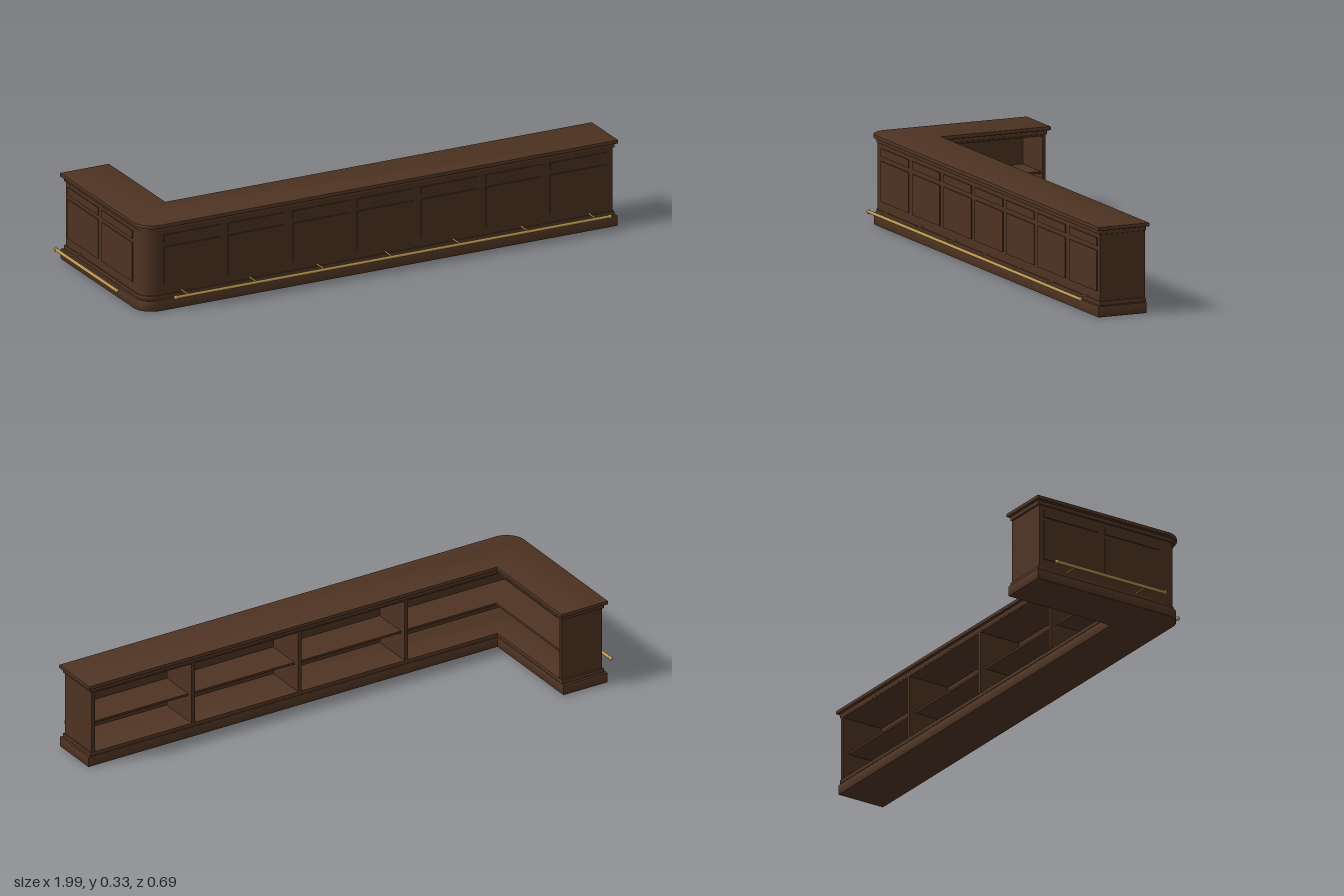
import * as THREE from 'three';
import { toCreasedNormals } from 'three/addons/utils/BufferGeometryUtils.js';

export function createModel() {
  const root = new THREE.Group();
  root.name = 'cornerBarCounter';
  const wood = new THREE.MeshStandardMaterial({ color: 0x4e3322 });
  wood.name = 'dark wood';
  const brass = new THREE.MeshStandardMaterial({ color: 0xb8954f });
  brass.name = 'brass';

  const add = (name, geometry, material, parent = root) => {
    const mesh = new THREE.Mesh(geometry, material);
    mesh.name = name;
    parent.add(mesh);
    return mesh;
  };
  const box = (name, x0, x1, y0, y1, z0, z1, parent = root) => {
    const mesh = add(name, new THREE.BoxGeometry(x1 - x0, y1 - y0, z1 - z0), wood, parent);
    mesh.position.set((x0 + x1) / 2, (y0 + y1) / 2, (z0 + z1) / 2);
    return mesh;
  };

  // Plan shapes use (x, -z) and are extruded upwards
  const slab = (name, shape, y0, y1, bevel) => {
    const geo = new THREE.ExtrudeGeometry(shape, {
      depth: y1 - y0 - 2 * bevel, bevelEnabled: bevel > 0, bevelThickness: bevel,
      bevelSize: bevel, bevelOffset: -bevel, bevelSegments: 2, curveSegments: 14,
    });
    geo.rotateX(-Math.PI / 2);
    geo.translate(0, y0 + bevel, 0);
    return add(name, toCreasedNormals(geo, 0.5), wood);
  };
  // Outer edge: right end, front, rounded corner, wing side
  const outerEdge = (left, right, front, back, innerZ, r) => {
    const s = new THREE.Shape();
    s.moveTo(left, -back);
    s.lineTo(left, -(front - r));
    if (r > 0) s.absarc(left + r, -(front - r), r, Math.PI, Math.PI * 1.5, false);
    s.lineTo(right, -front);
    s.lineTo(right, -innerZ);
    return s;
  };
  const lShape = (left, right, front, back, innerX, innerZ, r) => {
    const s = outerEdge(left, right, front, back, innerZ, r);
    s.lineTo(innerX, -innerZ);
    s.lineTo(innerX, -back);
    s.closePath();
    return s;
  };

  // Plinth, mouldings and counter top
  slab('plinth', lShape(-0.943, 0.993, 0.293, -0.345, -0.755, 0.1, 0.073), 0, 0.04, 0.002);
  slab('baseMoulding', lShape(-0.934, 0.985, 0.284, -0.337, -0.755, 0.1, 0.064), 0.04, 0.056, 0.002);
  slab('cornice', lShape(-0.934, 0.985, 0.284, -0.337, -0.755, 0.1, 0.064), 0.302, 0.318, 0.002);
  slab('counterTop', lShape(-0.945, 0.995, 0.295, -0.347, -0.745, 0.09, 0.075), 0.318, 0.333, 0.003);

  // Cabinet shell with both end panels, open towards the inside of the corner
  const shell = outerEdge(-0.93, 0.98, 0.28, -0.33, 0.1, 0.06);
  shell.lineTo(0.965, -0.1);
  shell.lineTo(0.965, -0.268);
  shell.lineTo(-0.87, -0.268);
  shell.absarc(-0.87, -0.22, 0.048, Math.PI * 1.5, Math.PI, true);
  shell.lineTo(-0.918, 0.318);
  shell.lineTo(-0.755, 0.318);
  shell.lineTo(-0.755, 0.33);
  shell.closePath();
  slab('cabinetWalls', shell, 0.056, 0.302, 0);

  // Inner boards
  slab('cabinetCeiling', lShape(-0.918, 0.965, 0.268, -0.318, -0.755, 0.1, 0.048), 0.297, 0.302, 0);
  slab('middleShelf', lShape(-0.918, 0.965, 0.268, -0.318, -0.765, 0.125, 0.048), 0.157, 0.165, 0);
  for (const x of [0.545, 0.09, -0.365]) {
    box('shelfDivider', x - 0.007, x + 0.007, 0.056, 0.297, 0.1, 0.268);
  }

  // Raised panels: a tall lower row and a narrow upper row
  const rows = [[0.09, 0.24], [0.257, 0.287]];
  const frontPanels = new THREE.Group();
  frontPanels.name = 'frontPanels';
  const wingPanels = new THREE.Group();
  wingPanels.name = 'wingPanels';
  root.add(frontPanels, wingPanels);
  for (const [y0, y1] of rows) {
    for (let i = 0; i < 7; i++) {
      const x = 0.0525 + (i - 3) * 0.2625;
      box('frontPanel', x - 0.116, x + 0.116, y0, y1, 0.278, 0.2835, frontPanels);
    }
    for (const z of [-0.193, 0.073]) {
      box('wingPanel', -0.9335, -0.928, y0, y1, z - 0.118, z + 0.118, wingPanels);
    }
  }

  // Foot rails, built along x with brackets reaching back in -z
  const footRail = (name, length, posts, reach) => {
    const g = new THREE.Group();
    g.name = name;
    const bar = add('railBar', new THREE.CylinderGeometry(0.006, 0.006, length, 16), brass, g);
    bar.rotation.z = Math.PI / 2;
    for (const side of [-1, 1]) {
      const cap = add('railEndCap', new THREE.SphereGeometry(0.008, 16, 12), brass, g);
      cap.position.x = side * length / 2;
    }
    for (const x of posts) {
      const post = add('railBracket', new THREE.CylinderGeometry(0.003, 0.003, reach, 10), brass, g);
      post.rotation.x = Math.PI / 2;
      post.position.set(x, 0, -reach / 2);
    }
    root.add(g);
    return g;
  };
  const posts = [];
  for (let i = -3; i <= 3; i++) posts.push(i * 0.277);
  footRail('frontFootRail', 1.77, posts, 0.06).position.set(0.0525, 0.062, 0.34);
  const wingRail = footRail('wingFootRail', 0.47, [-0.1525, 0.1525], 0.06);
  wingRail.rotation.y = -Math.PI / 2;
  wingRail.position.set(-0.99, 0.062, -0.0575);

  return root;
}
